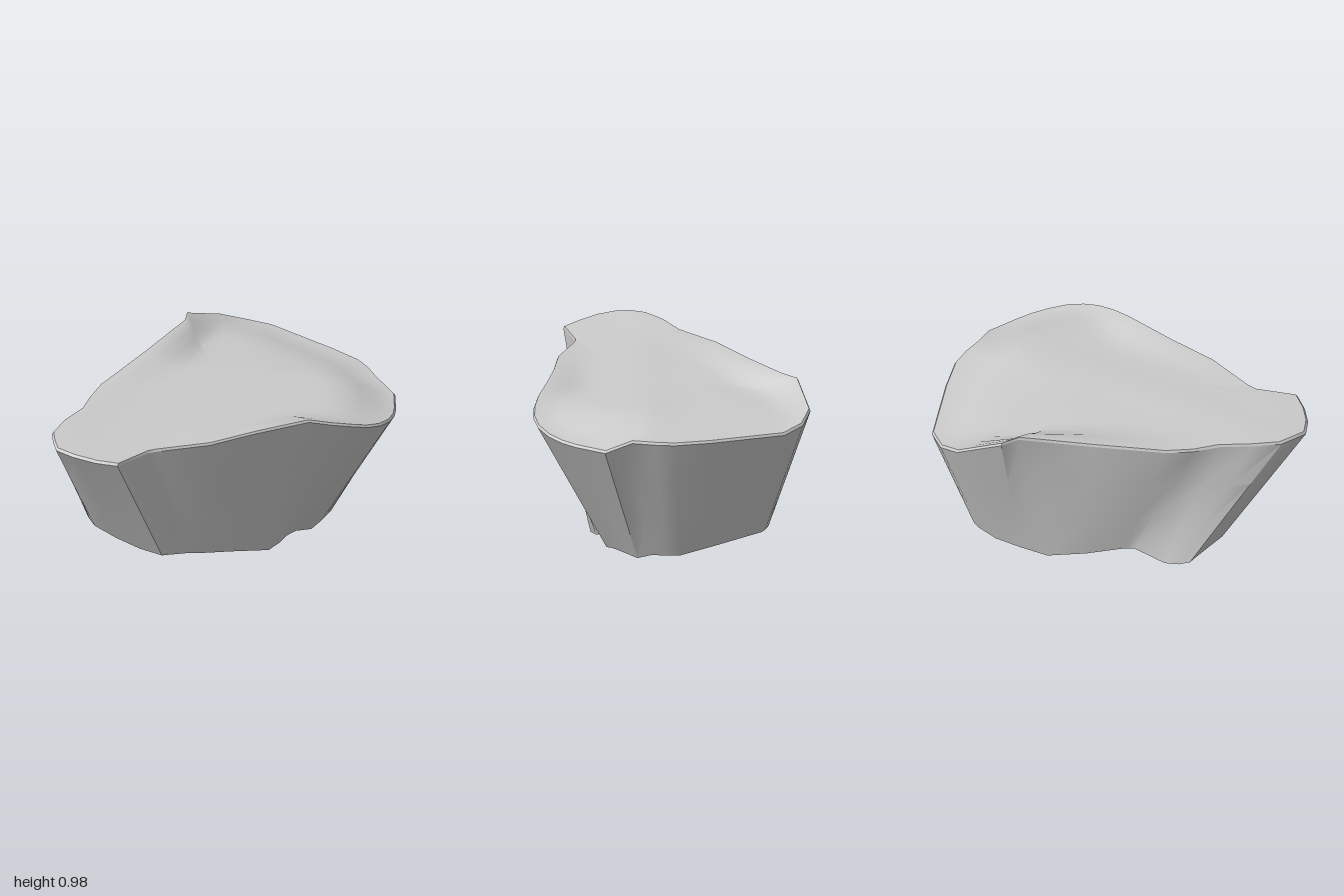
import * as THREE from 'three';
import { toCreasedNormals } from 'three/addons/utils/BufferGeometryUtils.js';

// Upper rim and lower edge, point for point: left, front, right, back
const rim = [
  [-0.99, 0.945, 0.67], [-0.98, 0.945, 0.77], [-0.96, 0.935, 0.85], [-0.86, 0.93, 0.92],
  [-0.73, 0.92, 0.97], [-0.6, 0.915, 0.995], [-0.43, 0.91, 0.82], [-0.38, 0.91, 0.8],
  [-0.07, 0.92, 0.73], [0.2, 0.935, 0.605], [0.5, 0.95, 0.485], [0.63, 0.92, 0.46],
  [0.75, 0.89, 0.42], [0.84, 0.86, 0.37], [0.91, 0.835, 0.3], [0.96, 0.81, 0.2],
  [0.985, 0.795, 0.1], [0.99, 0.785, 0], [0.98, 0.775, -0.19], [0.87, 0.825, -0.31],
  [0.82, 0.82, -0.43], [0.76, 0.815, -0.53], [0.6, 0.81, -0.68], [0.24, 0.805, -0.97],
  [0.08, 0.825, -1], [-0.06, 0.87, -0.97], [-0.25, 0.975, -0.78], [-0.26, 0.985, -0.67],
  [-0.5, 0.955, -0.3], [-0.73, 0.935, 0.05], [-0.79, 0.93, 0.2], [-0.83, 0.935, 0.35],
  [-0.93, 0.945, 0.52],
];
const base = [
  [-0.795, 0.125, 0.17], [-0.78, 0.17, 0.29], [-0.75, 0.195, 0.41], [-0.62, 0.18, 0.53],
  [-0.48, 0.165, 0.63], [-0.35, 0.155, 0.69], [-0.2, 0.12, 0.59], [-0.12, 0.1, 0.55],
  [0.05, 0.06, 0.45], [0.26, 0.003, 0.32], [0.32, 0.015, 0.25], [0.36, 0.035, 0.2],
  [0.41, 0.03, 0.13], [0.45, 0.02, 0.1], [0.5, 0.015, 0.075], [0.55, 0.035, 0.02],
  [0.58, 0.04, -0.04], [0.61, 0.04, -0.11], [0.62, 0.025, -0.2], [0.6, 0.05, -0.28],
  [0.56, 0.05, -0.36], [0.52, 0.05, -0.43], [0.38, 0.085, -0.56], [0.13, 0.135, -0.75],
  [0.08, 0.133, -0.745], [-0.04, 0.118, -0.7], [-0.16, 0.095, -0.6], [-0.28, 0.075, -0.49],
  [-0.4, 0.1, -0.3], [-0.5, 0.13, -0.1], [-0.53, 0.13, -0.05], [-0.69, 0.09, 0.06],
  [-0.76, 0.105, 0.12],
];

const mix = THREE.MathUtils.lerp;
const mixRings = (a, b, t) => a.map((p, i) => p.map((v, k) => mix(v, b[i][k], t)));

// Joins closed rings into a skin; each ring has the same number of points
function loft(rings, crease) {
  const n = rings[0].length;
  const index = [];
  for (let r = 0; r < rings.length - 1; r++) {
    for (let i = 0; i < n; i++) {
      const j = (i + 1) % n;
      const a = r * n + i, b = r * n + j, c = a + n, d = b + n;
      index.push(a, b, d, a, d, c);
    }
  }
  const geometry = new THREE.BufferGeometry();
  geometry.setAttribute('position', new THREE.Float32BufferAttribute(rings.flat(2), 3));
  geometry.setIndex(index);
  return toCreasedNormals(geometry, crease);
}

// Height of the worn upper surface: a hollow by the raised back edge,
// a low diagonal ridge and a fall towards the back
function surfaceHeight(x, z) {
  const hollow = Math.exp(-((x + 0.17) ** 2 + (z + 0.58) ** 2) / 0.03);
  const ridge = Math.exp(-((x * 0.5 + z * 0.86 - 0.12) ** 2) / 0.03);
  const backSlope = Math.max(0, -z - 0.2) * Math.max(0, x + 0.2);
  return 0.905 - 0.02 * x - 0.025 * hollow + 0.01 * ridge - 0.15 * backSlope;
}

// Rim ring pulled towards the middle and eased onto the surface height
function topRing(scale) {
  const ease = THREE.MathUtils.smoothstep(1 - scale, 0, 0.38);
  return rim.map(([x, y, z]) => {
    const px = mix(0.03, x, scale), pz = z * scale;
    return [px, mix(y, surfaceHeight(px, pz), ease), pz];
  });
}

export function createModel() {
  const rock = new THREE.Group();
  rock.name = 'rock';
  const material = new THREE.MeshStandardMaterial({ color: 0xcccccc });
  const add = (name, geometry) => {
    const mesh = new THREE.Mesh(geometry, material);
    mesh.name = name;
    rock.add(mesh);
  };

  // Sloping side faces
  const shoulder = rim.map(([x, y, z]) => [x, y - 0.015, z]);
  add('sides', loft([0, 0.33, 0.66, 1].map((t) => mixRings(base, shoulder, t)), 0.6));

  // Upper surface with a thin bevelled edge
  const scales = [0.99, 0.94, 0.87, 0.78, 0.68, 0.56, 0.42, 0.28, 0.14, 0];
  add('top', loft([shoulder, ...scales.map(topRing)], 0.8));

  // Underside
  const middle = base.map(() => [-0.05, 0.085, 0.02]);
  add('underside', loft([middle, mixRings(middle, base, 0.5), base], 0.8));

  return rock;
}
